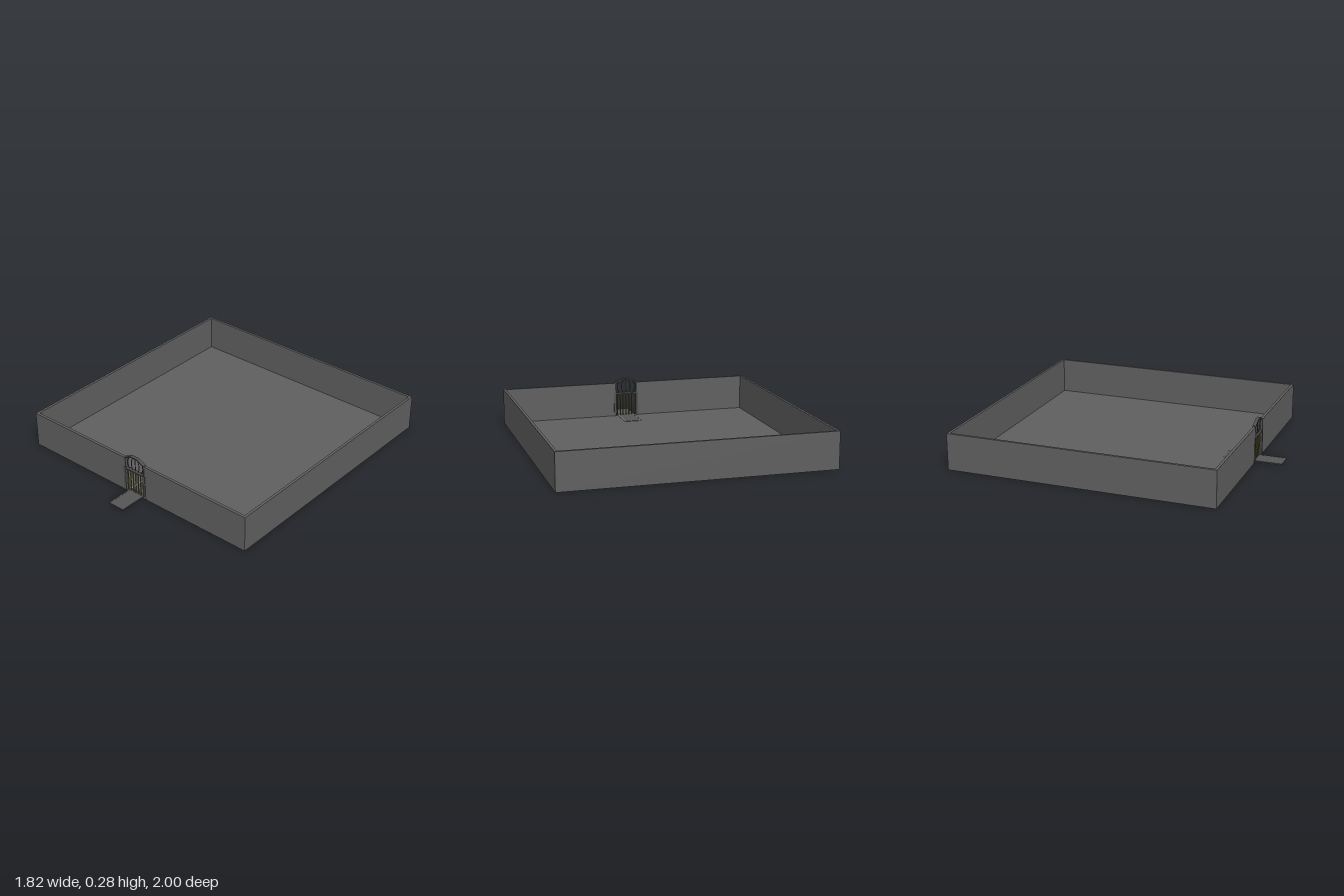
import * as THREE from 'three';

const stone = new THREE.MeshStandardMaterial({ color: 0x5f5f5f });
const paving = new THREE.MeshStandardMaterial({ color: 0x555555 });
const pale = new THREE.MeshStandardMaterial({ color: 0xa0a0a0 });
const iron = new THREE.MeshStandardMaterial({ color: 0x505050 });
const brass = new THREE.MeshStandardMaterial({ color: 0x6b6435 });

const W = 0.91, BACK = -1, FRONT = 0.82, H = 0.25, T = 0.018;
const GATE_Z = 0.81, GATE_W = 0.092, RAIL_Y = 0.172;

export function createModel() {
  const model = new THREE.Group();

  // Box given by its minimum and maximum corners
  const box = (name, material, x0, x1, y0, y1, z0, z1, parent = model) => {
    const mesh = new THREE.Mesh(new THREE.BoxGeometry(x1 - x0, y1 - y0, z1 - z0), material);
    mesh.position.set((x0 + x1) / 2, (y0 + y1) / 2, (z0 + z1) / 2);
    mesh.name = name;
    parent.add(mesh);
  };

  // Floor and surrounding walls, with a gap at the front for the gate
  box('floor', stone, -W, W, 0, 0.004, BACK, FRONT);
  box('backWall', stone, -W, W, 0, H, BACK, BACK + T);
  box('leftWall', stone, W - T, W, 0, H, BACK + T, FRONT - T);
  box('rightWall', stone, -W, -W + T, 0, H, BACK + T, FRONT - T);
  box('leftFrontWall', stone, 0.082, W, 0, H, FRONT - T, FRONT);
  box('rightFrontWall', stone, -W, -0.082, 0, H, FRONT - T, FRONT);

  // Entrance path, its border pale inside the walls and dark outside
  box('path', paving, -0.054, 0.054, 0, 0.007, 0.6, 1);
  for (const s of [-1, 1]) {
    const x = s * 0.058;
    box('innerPathBorder', pale, x - 0.004, x + 0.004, 0, 0.008, 0.6, FRONT - T);
    box('outerPathBorder', paving, x - 0.004, x + 0.004, 0, 0.008, FRONT - T, 1);
  }

  // Gate frame: posts and cross rail, standing slightly proud of the wall
  const gate = new THREE.Group();
  gate.name = 'gate';
  model.add(gate);
  for (const s of [-1, 1]) {
    const x = s * 0.083;
    box('gatePost', iron, x - 0.009, x + 0.009, 0, RAIL_Y - 0.004, FRONT - 0.02, FRONT + 0.004, gate);
  }
  box('gateRail', iron, -GATE_W, GATE_W, RAIL_Y - 0.004, RAIL_Y + 0.006, FRONT - 0.02, FRONT + 0.004, gate);

  // Faceted arch above the rail
  const outer = [[0.084, 0.176], [0.084, 0.255], [0.03, 0.282]];
  const inner = [[0.076, 0.176], [0.076, 0.249], [0.028, 0.273]];
  const flip = ([x, y]) => [-x, y];
  const loop = [
    ...outer, ...outer.map(flip).reverse(),
    ...inner.map(flip), ...[...inner].reverse(),
  ];
  const archShape = new THREE.Shape(loop.map(([x, y]) => new THREE.Vector2(x, y)));
  const arch = new THREE.Mesh(
    new THREE.ExtrudeGeometry(archShape, { depth: 0.022, bevelEnabled: false }), iron);
  arch.position.z = FRONT - 0.02;
  arch.name = 'gateArch';
  gate.add(arch);

  // Upright bars below the rail
  for (let i = -3; i <= 3; i++) {
    const bar = new THREE.Mesh(new THREE.CylinderGeometry(0.0042, 0.0042, RAIL_Y, 8), brass);
    bar.position.set(i * 0.0215, RAIL_Y / 2, GATE_Z);
    bar.name = 'gateBar';
    gate.add(bar);
  }

  // Bowed bars fanning out inside the arch
  for (let i = -2; i <= 2; i++) {
    const curve = new THREE.CatmullRomCurve3([
      [i * 0.024, 0.174], [i * 0.032, 0.205], [i * 0.031, 0.24], [i * 0.018, 0.275],
    ].map(([x, y]) => new THREE.Vector3(x, y, GATE_Z)));
    const bar = new THREE.Mesh(new THREE.TubeGeometry(curve, 10, 0.003, 6), iron);
    bar.name = 'archBar';
    gate.add(bar);
  }

  return model;
}
